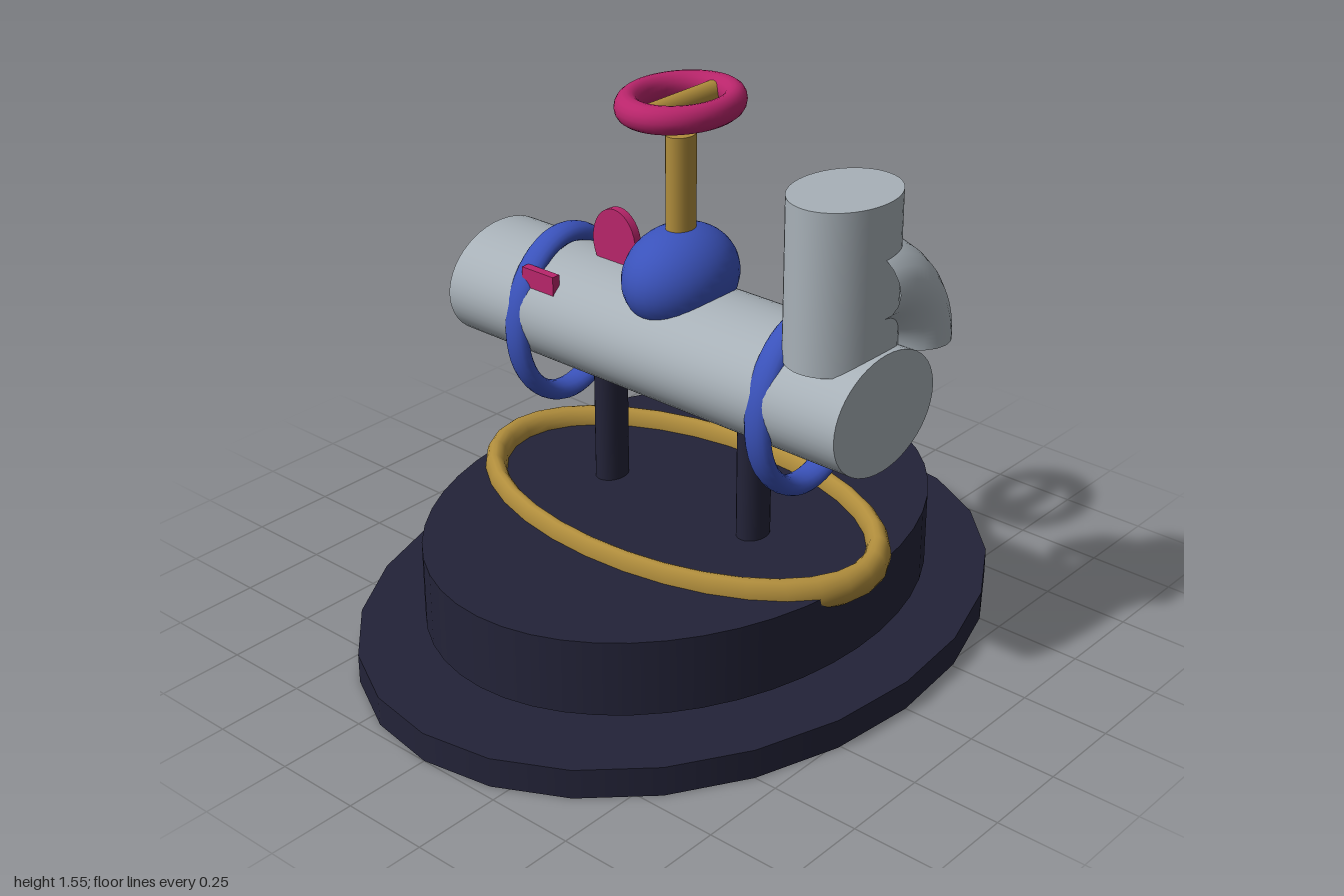
import * as THREE from 'three';

const flat = (name, color, opts = {}) => {
  const m = new THREE.MeshStandardMaterial({ color, ...opts });
  m.name = name;
  return m;
};

export function createModel() {
  const model = new THREE.Group();
  model.name = 'valveOnStand';

  const navy = flat('navy', 0x232338);
  const gold = flat('gold', 0xb08d3c);
  const grey = flat('pipeGrey', 0xa8b1b8, { side: THREE.DoubleSide });
  const blue = flat('blue', 0x3a52ba);
  const magenta = flat('magenta', 0xb9256b);

  const add = (name, geometry, material, x = 0, y = 0, z = 0) => {
    const mesh = new THREE.Mesh(geometry, material);
    mesh.name = name;
    mesh.position.set(x, y, z);
    model.add(mesh);
    return mesh;
  };

  // Upright elliptical cylinder between two heights
  const column = (name, rx, rz, y0, y1, material, x = 0, sides = 48) =>
    add(name, new THREE.CylinderGeometry(1, 1, y1 - y0, sides).scale(rx, 1, rz),
      material, x, (y0 + y1) / 2);

  // Horizontal ring with its own ring and tube radius along each axis
  const ring = (R, r, sy, sz, segments = 48) =>
    new THREE.TorusGeometry(R, r, 16, segments).rotateX(Math.PI / 2).scale(1, sy, sz);

  // Stand: stepped base, gold hoop and two posts
  column('base', 0.79, 1.0, 0, 0.085, navy, 0, 24);
  column('drum', 0.626, 0.794, 0.12, 0.337, navy);
  add('goldHoop', ring(0.629, 0.038, 1.26, 0.588, 32), gold, 0, 0.337);
  for (const side of [-1, 1]) column('post', 0.042, 0.053, 0.05, 0.74, navy, side * 0.26, 24);

  // Main horizontal pipe
  add('mainPipe', new THREE.CylinderGeometry(1, 1, 1.36, 48)
    .rotateZ(Math.PI / 2).scale(1, 0.165, 0.21), grey, 0, 0.84);

  // Blue clamps hanging around the pipe
  for (const side of [-1, 1]) {
    add('clampRing', new THREE.TorusGeometry(0.237, 0.028, 16, 48)
      .rotateY(Math.PI / 2).scale(1.43, 1, 0.83), blue, side * 0.428, 0.795);
  }

  // Valve: bonnet, stem, crossbar and handwheel
  add('bonnet', new THREE.SphereGeometry(1, 32, 24).scale(0.142, 0.142, 0.18), blue, 0, 1.028);
  column('stem', 0.037, 0.046, 1.1, 1.427, gold, 0, 24);
  add('wheelSpoke', new THREE.CylinderGeometry(1, 1, 0.28, 20)
    .rotateX(Math.PI / 2).scale(0.029, 0.036, 1), gold, 0, 1.502);
  add('handwheel', ring(0.127, 0.03, 1.25, 1.22), magenta, 0, 1.512);

  // Gauge disc and small lever
  add('gaugeDisc', new THREE.CylinderGeometry(1, 1, 0.025, 32)
    .rotateX(Math.PI / 2).scale(0.078, 0.098, 1), magenta, -0.23, 1.059);
  add('lever', new THREE.BoxGeometry(0.116, 0.055, 0.026), magenta, -0.366, 0.96, 0.161);

  // Upright outlet with an open quarter-turn elbow behind it
  column('outletPipe', 0.133, 0.168, 0.966, 1.407, grey, 0.534);
  add('elbow', new THREE.TorusGeometry(0.209, 0.12, 24, 20, Math.PI / 2)
    .rotateY(Math.PI / 2).scale(1.5, 1, 1), grey, 0.534, 0.967);

  return model;
}
